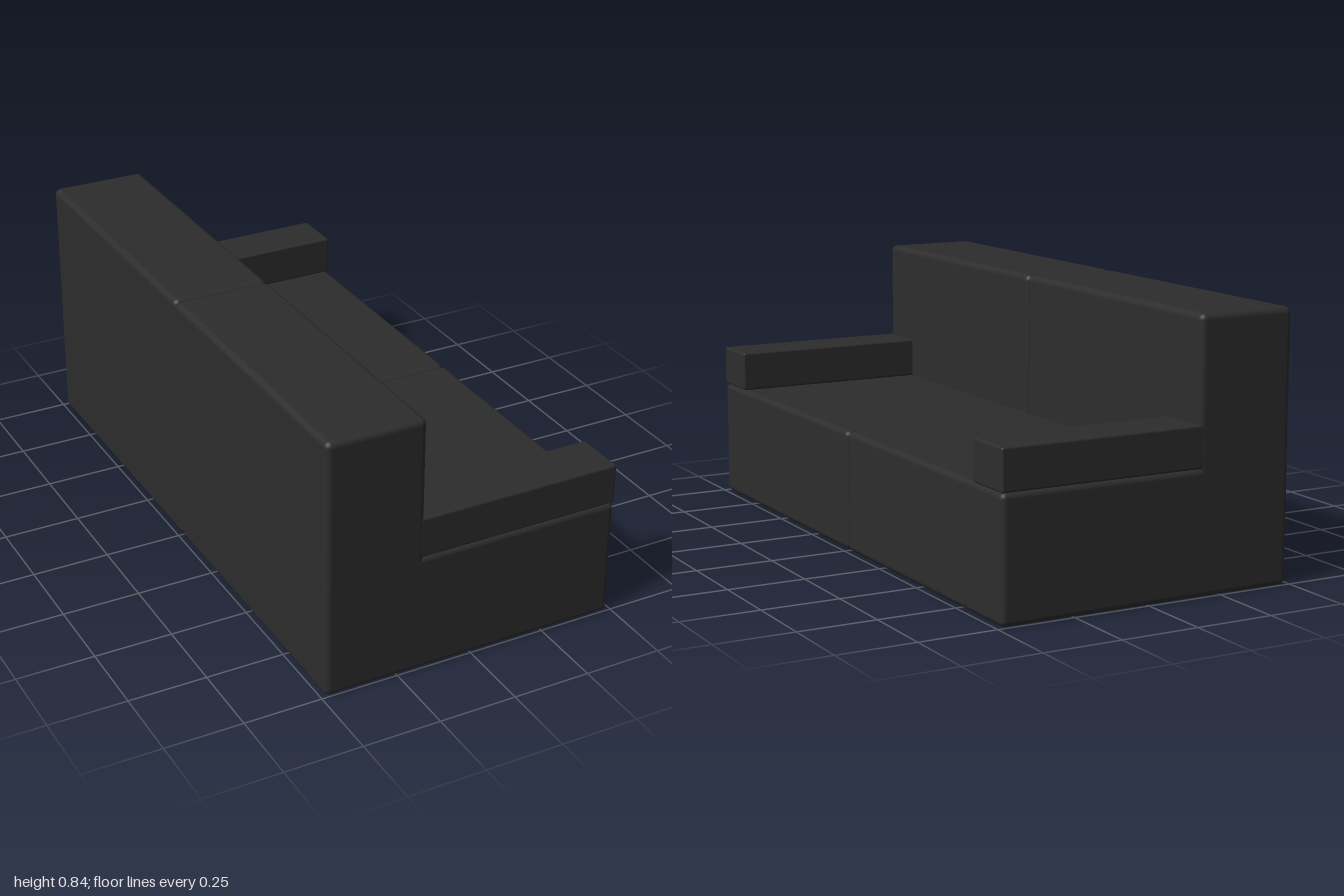
import * as THREE from 'three';
import { RoundedBoxGeometry } from 'three/addons/geometries/RoundedBoxGeometry.js';

export function createModel() {
  const group = new THREE.Group();
  group.name = 'sofa';
  const fabric = new THREE.MeshStandardMaterial({ color: 0x2d2d2d });
  fabric.name = 'charcoal fabric';

  // Adds a block spanning the given x, y and z ranges; radius 0 gives sharp edges
  function block(name, [x0, x1], [y0, y1], [z0, z1], radius) {
    const size = [x1 - x0, y1 - y0, z1 - z0];
    const geometry = radius
      ? new RoundedBoxGeometry(...size, 4, radius)
      : new THREE.BoxGeometry(...size);
    const mesh = new THREE.Mesh(geometry, fabric);
    mesh.name = name;
    mesh.position.set((x0 + x1) / 2, (y0 + y1) / 2, (z0 + z1) / 2);
    group.add(mesh);
  }

  const back = -0.487, front = 0.487, backrestFront = -0.167;

  for (const side of [-1, 1]) {
    const label = side > 0 ? 'Near' : 'Far';
    const span = (a, b) => (side > 0 ? [a, b] : [-b, -a]);

    // Seat half, with rounded edges forming the centre seam
    block('seat' + label, [back, front], [0, 0.385], span(0, 1), 0.018);

    // Backrest half, running down to the floor
    block('backrest' + label, [back, backrestFront], [0, 0.84], span(0, 1), 0.02);

    // Slim armrest pad lying on the seat
    block('armrest' + label, [-0.2, front], [0.385, 0.515], span(0.83, 0.999), 0.007);
  }

  // Seamless rear panel and underside
  block('rearPanel', [back, -0.46], [0.02, 0.82], [-0.98, 0.98], 0);
  block('underside', [-0.467, 0.467], [0, 0.04], [-0.98, 0.98], 0);

  return group;
}
